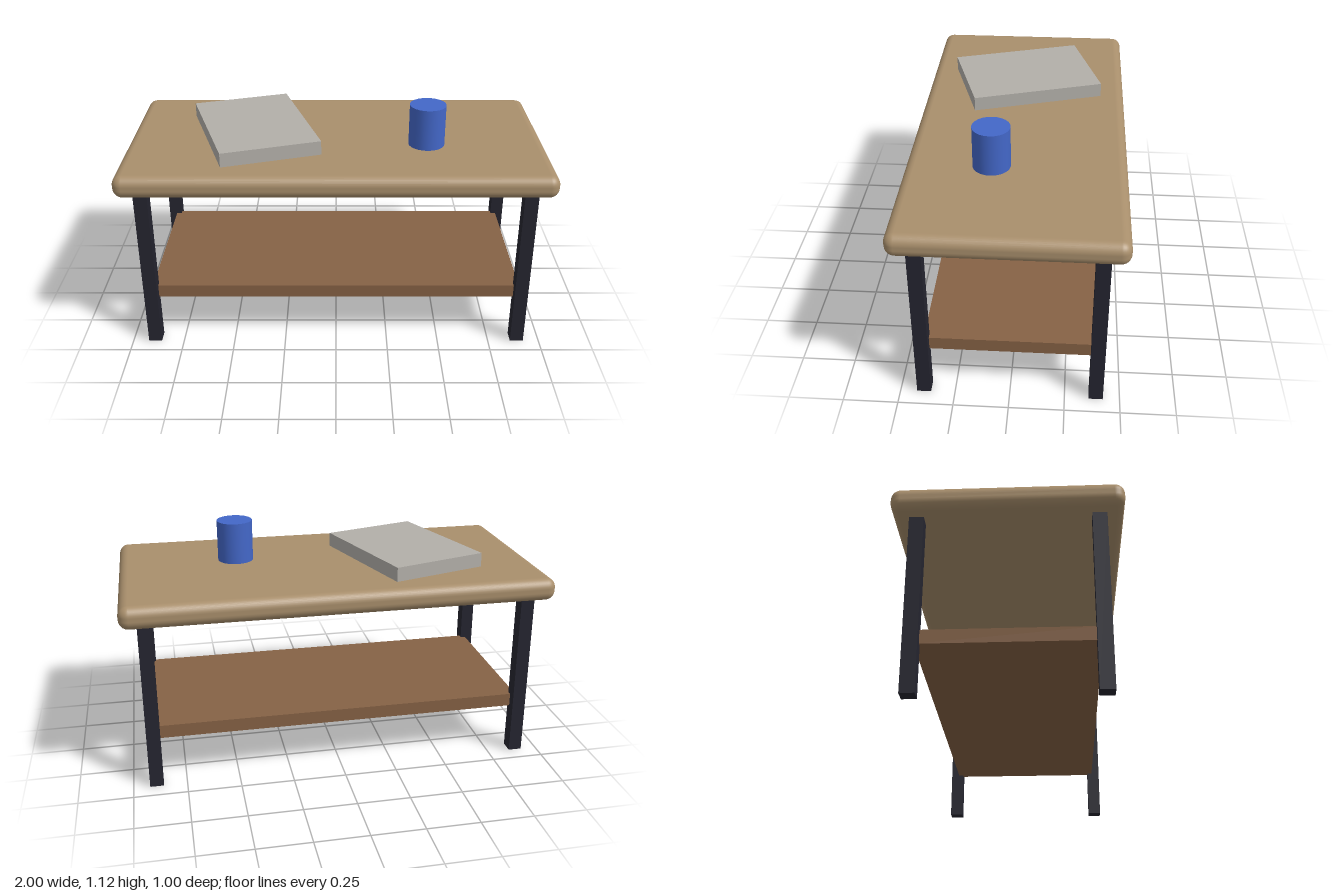
import * as THREE from 'three';
import { RoundedBoxGeometry } from 'three/addons/geometries/RoundedBoxGeometry.js';

function material(name, color) {
  const m = new THREE.MeshStandardMaterial({ color });
  m.name = name;
  return m;
}

export function createModel() {
  const table = new THREE.Group();
  table.name = 'coffeeTable';

  const tan = material('tan wood', 0xa98f6c);
  const brown = material('brown wood', 0x866245);
  const dark = material('dark metal', 0x252530);
  const grey = material('grey cover', 0xb2afa9);
  const blue = material('blue glaze', 0x4367c8);

  function add(name, geometry, mat, x, y, z) {
    const mesh = new THREE.Mesh(geometry, mat);
    mesh.name = name;
    mesh.position.set(x, y, z);
    table.add(mesh);
    return mesh;
  }

  // Rounded tabletop
  add('tabletop', new RoundedBoxGeometry(2, 0.107, 1, 4, 0.045), tan, 0, 0.8705, 0);

  // Four square legs
  const legGeometry = new THREE.BoxGeometry(0.064, 0.82, 0.064);
  for (const [side, x] of [['Left', 0.892], ['Right', -0.892]]) {
    for (const [end, z] of [['front', 0.392], ['back', -0.392]]) {
      add(`${end}${side}Leg`, legGeometry, dark, x, 0.41, z);
    }
  }

  // Lower shelf, its corners held inside the legs
  add('shelf', new THREE.BoxGeometry(1.77, 0.063, 0.766), brown, 0, 0.263, 0);

  // Book lying askew
  const book = add('book', new THREE.BoxGeometry(0.477, 0.068, 0.648), grey, -0.392, 0.958, -0.002);
  book.rotation.y = 0.3;

  // Solid cup
  add('cup', new THREE.CylinderGeometry(0.086, 0.086, 0.199, 24), blue, 0.432, 1.0235, 0.109);

  return table;
}
